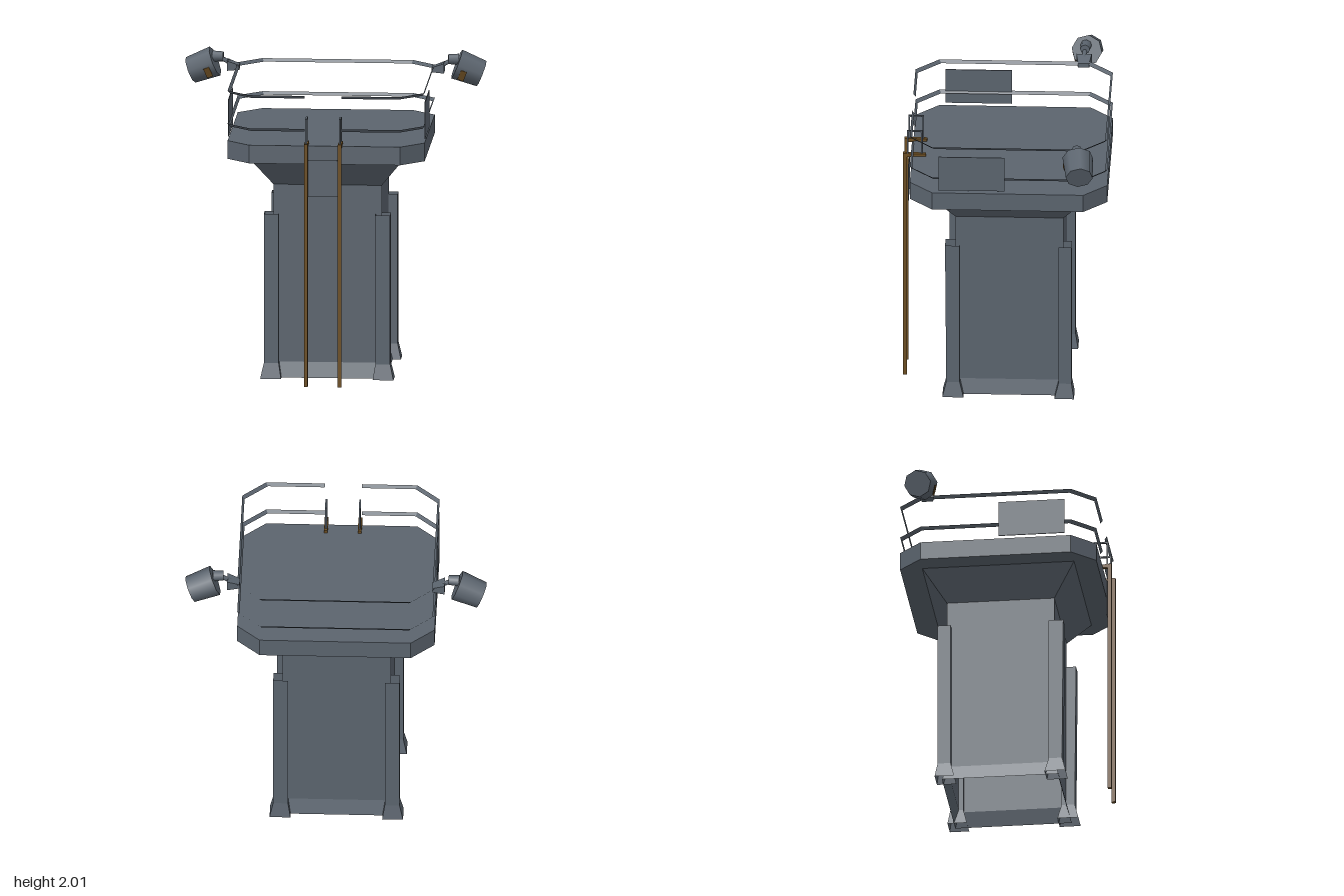
import * as THREE from 'three';

const steel = new THREE.MeshStandardMaterial({ name: 'steel grey', color: 0x5b646e, side: THREE.DoubleSide });
const rust = new THREE.MeshStandardMaterial({ name: 'rusty brown', color: 0x6b4d22, side: THREE.DoubleSide });

const Y = new THREE.Vector3(0, 1, 0);

// Flat-shaded skin through matching rings of points, listed from bottom to top
function loft(rings, closed = true) {
  const pos = [];
  for (let r = 0; r + 1 < rings.length; r++) {
    const lo = rings[r], hi = rings[r + 1], n = lo.length;
    for (let i = 0; i < (closed ? n : n - 1); i++) {
      const j = (i + 1) % n;
      pos.push(...lo[i], ...lo[j], ...hi[j], ...lo[i], ...hi[j], ...hi[i]);
    }
  }
  const g = new THREE.BufferGeometry();
  g.setAttribute('position', new THREE.Float32BufferAttribute(pos, 3));
  g.computeVertexNormals();
  return g;
}

// Rectangle ring at height y, counter-clockwise seen from above
const rect = (x0, x1, z0, z1, y) => [[x0, y, z1], [x1, y, z1], [x1, y, z0], [x0, y, z0]];

export function createModel() {
  const model = new THREE.Group();
  model.name = 'watchTower';

  const add = (name, geo, mat = steel, parent = model) => {
    const m = new THREE.Mesh(geo, mat);
    m.name = name;
    parent.add(m);
    return m;
  };
  const box = (name, x0, x1, y0, y1, z0, z1, mat, parent) => {
    const m = add(name, new THREE.BoxGeometry(x1 - x0, y1 - y0, z1 - z0), mat, parent);
    m.position.set((x0 + x1) / 2, (y0 + y1) / 2, (z0 + z1) / 2);
    return m;
  };
  // Prism or cylinder running from point a to point b
  const rod = (name, a, b, ra, rb, sides, parent) => {
    const va = new THREE.Vector3(...a), vb = new THREE.Vector3(...b);
    const dir = vb.clone().sub(va);
    const m = add(name, new THREE.CylinderGeometry(rb, ra, dir.length(), sides), steel, parent);
    m.position.copy(va).add(vb).multiplyScalar(0.5);
    m.quaternion.setFromUnitVectors(Y, dir.normalize());
    return m;
  };

  // Hollow shaft with a skirt at the foot and a flared head
  add('shaft', loft([
    rect(-0.38, 0.38, -0.41, 0.35, 0),
    rect(-0.352, 0.352, -0.38, 0.32, 0.1),
    rect(-0.352, 0.352, -0.38, 0.32, 1.27),
    rect(-0.495, 0.495, -0.525, 0.465, 1.46),
  ]));

  // Open square corner posts with splayed feet
  for (const s of [-1, 1]) {
    const post = (name, zOut, zIn) => {
      const ring = (xIn, xOut, dOut, dIn, y) => {
        const zs = [zOut + dOut, zIn + dIn].sort((a, b) => a - b);
        const xs = [s * xIn, s * xOut].sort((a, b) => a - b);
        return rect(xs[0], xs[1], zs[0], zs[1], y);
      };
      const d = Math.sign(zOut);
      add(name, loft([
        ring(0.298, 0.433, d * 0.017, -d * 0.025, 0),
        ring(0.314, 0.41, d > 0 ? -0.008 : 0, 0, 0.1),
        ring(0.314, 0.41, 0, 0, 1.085),
      ]));
    };
    post('frontCornerPost', 0.385, 0.29);
    post('backCornerPost', -0.435, -0.35);
  }

  // Deck with cut corners
  const outline = [[0.49, 0.61], [0.64, 0.46], [0.64, -0.52], [0.49, -0.67],
    [-0.49, -0.67], [-0.64, -0.52], [-0.64, 0.46], [-0.49, 0.61]];
  const deckShape = new THREE.Shape(outline.map(([x, z]) => new THREE.Vector2(x, -z)));
  const deckGeo = new THREE.ExtrudeGeometry(deckShape, { depth: 0.12, bevelEnabled: false });
  deckGeo.rotateX(-Math.PI / 2);
  add('deck', deckGeo).position.y = 1.46;

  // Slanted guard rails, open at the ladder
  const path = [[0.11, 0.61], ...outline, [-0.13, 0.61]];
  for (const y of [1.672, 1.89]) {
    const lower = path.map(([x, z]) => [
      Math.abs(x) < 0.2 ? x : x * 0.977, y, (z + 0.03) * 0.977 - 0.03]);
    add('guardRail', loft([lower, path.map(([x, z]) => [x, y + 0.02, z])], false));
  }

  // Side shields
  for (const s of [-1, 1])
    box('sideShield', s * 0.638 - 0.003, s * 0.638 + 0.003, 1.6, 1.84, -0.01, 0.42);

  // Plate behind the ladder
  box('ladderPlate', -0.11, 0.1, 1.25, 1.49, 0.632, 0.637);

  // Ladder uprights, their top brackets and hand grips
  for (const x of [-0.119, 0.101]) {
    const side = new THREE.Group();
    side.name = 'ladderSide';
    model.add(side);
    box('upright', x - 0.012, x + 0.012, 0, 1.6, 0.642, 0.668, rust, side);
    box('topBracket', x - 0.012, x + 0.012, 1.575, 1.598, 0.52, 0.642, rust, side);
    for (const z of [0.546, 0.638])
      box('gripPost', x - 0.006, x + 0.006, 1.598, 1.762, z - 0.005, z + 0.005, steel, side);
    box('gripBar', x - 0.006, x + 0.006, 1.752, 1.762, 0.546, 0.638, steel, side);
  }

  // Floodlights on the side rails
  for (const s of [-1, 1]) {
    const lamp = new THREE.Group();
    lamp.name = s > 0 ? 'leftFloodlight' : 'rightFloodlight';
    model.add(lamp);
    const clampRing = (x, y0, y1, h) => [[s * x, y0, -0.475 + h], [s * x, y1, -0.475 + h],
      [s * x, y1, -0.475 - h], [s * x, y0, -0.475 - h]];
    const a = clampRing(0.625, 1.875, 1.905, 0.035), b = clampRing(0.705, 1.87, 1.935, 0.05);
    const dot = [a[0], a[0], a[0], a[0]].map(() => [s * 0.625, 1.89, -0.475]);
    const end = dot.map(() => [s * 0.705, 1.9, -0.475]);
    const rings = [dot, a, b, end];
    add('clamp', loft(s > 0 ? rings.map(r => [...r].reverse()).reverse().map(r => [...r].reverse()) : rings), steel, lamp);
    rod('arm', [s * 0.67, 1.905, -0.475], [s * 0.76, 1.955, -0.48], 0.015, 0.015, 6, lamp);
    rod('neck', [s * 0.73, 1.955, -0.48], [s * 0.80, 1.955, -0.485], 0.032, 0.036, 8, lamp);
    const head = rod('lampHead', [s * 0.785, 1.922, -0.49], [s * 0.945, 1.858, -0.505], 0.1, 0.088, 8, lamp);
    // Rust patch lying on the front of the housing
    const patch = box('rustPatch', -0.02, 0.02, -0.035, 0.035, -0.002, 0.002, rust, lamp);
    patch.position.copy(head.position).add(new THREE.Vector3(-s * 0.04, -0.03, 0.09));
    patch.rotation.z = -s * 0.38;
    patch.rotation.x = 0.3;
  }

  return model;
}
